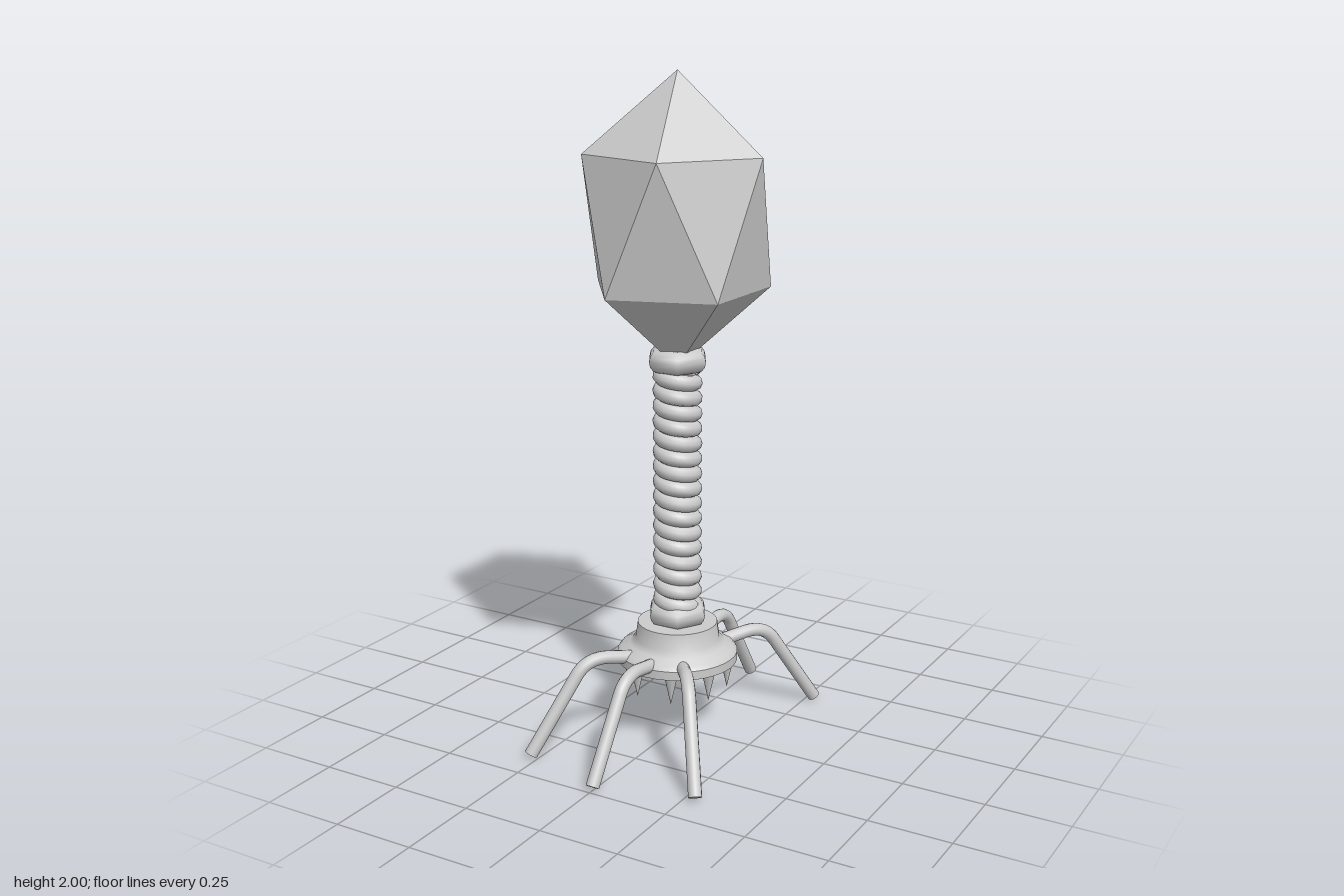
import * as THREE from 'three';
import { ConvexGeometry } from 'three/addons/geometries/ConvexGeometry.js';

export function createModel() {
  const model = new THREE.Group();
  const smooth = new THREE.MeshStandardMaterial({ color: 0xcccccc });
  const faceted = new THREE.MeshStandardMaterial({ color: 0xcccccc, flatShading: true });

  const add = (name, geometry, material = smooth, parent = model) => {
    const mesh = new THREE.Mesh(geometry, material);
    mesh.name = name;
    parent.add(mesh);
    return mesh;
  };

  // Head: stretched icosahedron, two pentagon rings and two tips
  const headPoints = [new THREE.Vector3(0, 2, 0), new THREE.Vector3(0, 1.145, 0)];
  for (let i = 0; i < 5; i++) {
    const a = (i / 5) * Math.PI * 2;
    headPoints.push(new THREE.Vector3(0.273 * Math.cos(a), 1.768, 0.273 * Math.sin(a)));
    headPoints.push(new THREE.Vector3(-0.273 * Math.cos(a), 1.38, -0.273 * Math.sin(a)));
  }
  add('head', new ConvexGeometry(headPoints), faceted);

  // Tail: inner core wrapped by a helical sheath
  add('tailCore', new THREE.CylinderGeometry(0.052, 0.052, 0.87, 24)).position.y = 0.775;
  class Helix extends THREE.Curve {
    getPoint(t, target = new THREE.Vector3()) {
      const a = t * 16 * Math.PI * 2;
      return target.set(0.05 * Math.cos(a), 0.41 + 0.74 * t, 0.05 * Math.sin(a));
    }
  }
  add('sheath', new THREE.TubeGeometry(new Helix(), 480, 0.024, 10));

  // Six-sided collars at both ends of the sheath
  for (const [name, y] of [['upperCollar', 1.17], ['lowerCollar', 0.385]]) {
    const ring = new THREE.TorusGeometry(0.06, 0.035, 14, 6).rotateX(Math.PI / 2);
    add(name, ring).position.y = y;
  }

  // Base plate: flared bell, each run of points is its own smooth surface
  const profiles = [
    [[0, 0.235], [0.183, 0.235]],
    [[0.183, 0.235], [0.183, 0.262]],
    [[0.183, 0.262], [0.172, 0.276], [0.145, 0.288], [0.128, 0.305], [0.121, 0.355]],
    [[0.121, 0.355], [0, 0.355]],
  ];
  const basePlate = new THREE.Group();
  basePlate.name = 'basePlate';
  model.add(basePlate);
  for (const profile of profiles) {
    const points = profile.map(([r, y]) => new THREE.Vector2(r, y));
    add('basePlateSurface', new THREE.LatheGeometry(points, 32), smooth, basePlate);
  }

  // Spikes under the plate
  for (let i = 0; i < 8; i++) {
    const a = ((i + 0.5) / 8) * Math.PI * 2;
    const spike = add('spike', new THREE.ConeGeometry(0.021, 0.092, 10).rotateX(Math.PI));
    spike.position.set(0.152 * Math.cos(a), 0.191, 0.152 * Math.sin(a));
  }

  // Legs: bent tubes with flat feet, three at the front and three at the back
  const path = new THREE.CurvePath();
  const at = (r, y) => new THREE.Vector3(0, y, r);
  path.add(new THREE.LineCurve3(at(0.13, 0.26), at(0.23, 0.276)));
  path.add(new THREE.QuadraticBezierCurve3(at(0.23, 0.276), at(0.3, 0.287), at(0.335, 0.235)));
  path.add(new THREE.LineCurve3(at(0.335, 0.235), at(0.485, 0.012)));
  const legTube = new THREE.TubeGeometry(path, 40, 0.02, 12);
  const cap = new THREE.CircleGeometry(0.02, 12);
  const footDirection = new THREE.Vector3(0, -0.223, 0.15).normalize();
  for (const degrees of [0, 36, -34, 180, 180 - 34.3, 180 + 36]) {
    const leg = new THREE.Group();
    leg.name = 'leg';
    leg.rotation.y = THREE.MathUtils.degToRad(degrees);
    model.add(leg);
    add('legTube', legTube, smooth, leg);
    const foot = add('foot', cap, smooth, leg);
    foot.position.set(0, 0.012, 0.485);
    foot.quaternion.setFromUnitVectors(new THREE.Vector3(0, 0, 1), footDirection);
    const root = add('legRoot', cap, smooth, leg);
    root.position.set(0, 0.26, 0.13);
    root.rotation.y = Math.PI;
  }

  return model;
}
